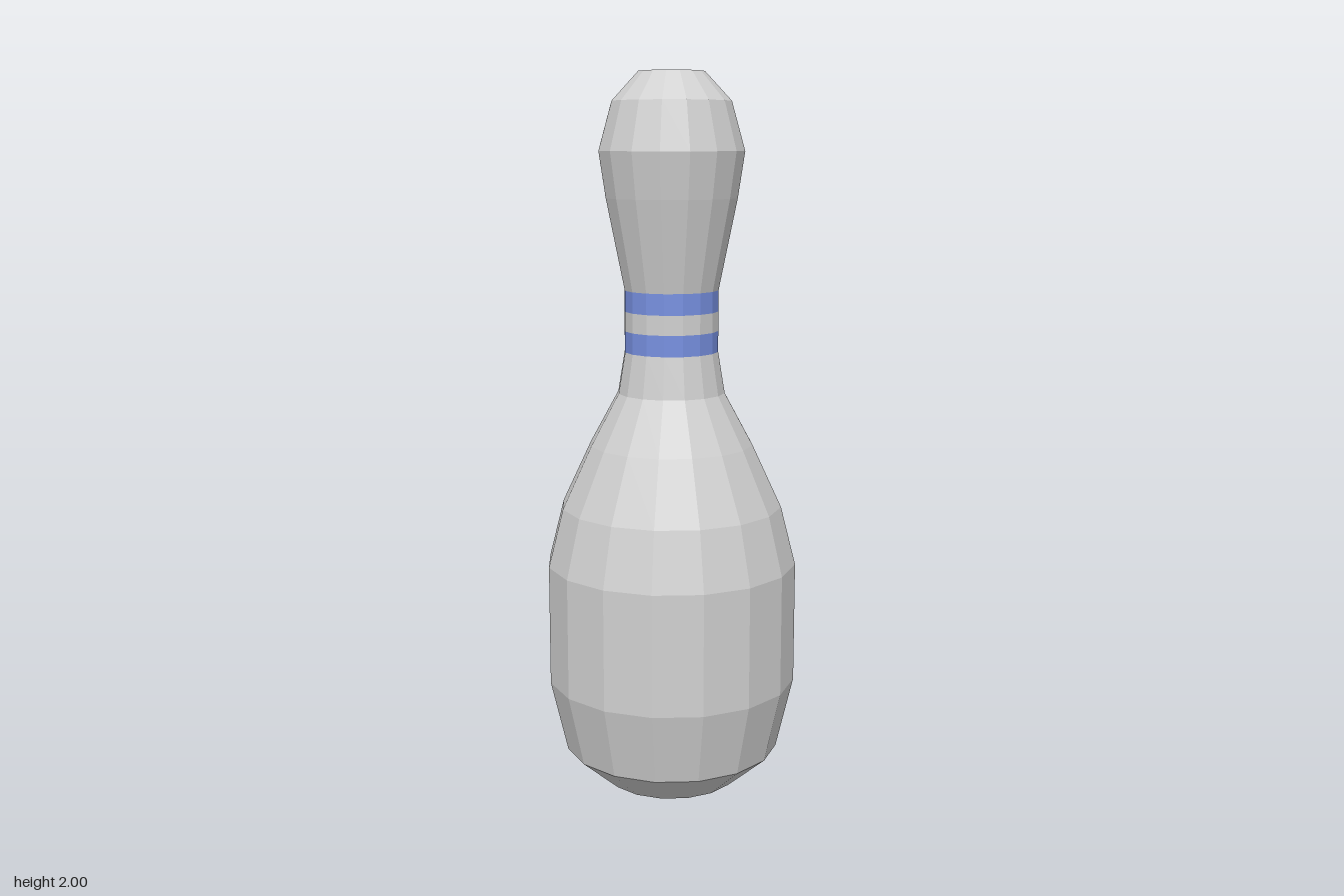
import * as THREE from 'three';

const SIDES = 16;

export function createModel() {
  const white = new THREE.MeshStandardMaterial({ color: 0xd0d0d0, flatShading: true });
  white.name = 'pin white';
  const blue = new THREE.MeshStandardMaterial({ color: 0x7790e0, flatShading: true });
  blue.name = 'stripe blue';

  const group = new THREE.Group();
  group.name = 'bowlingPin';

  // Turned section from [radius, height] pairs, listed bottom to top
  function turned(name, material, profile) {
    const points = profile.map(([r, y]) => new THREE.Vector2(r, y));
    const mesh = new THREE.Mesh(new THREE.LatheGeometry(points, SIDES), material);
    mesh.name = name;
    group.add(mesh);
  }

  // Base, belly and tapering shoulder
  turned('body', white, [
    [0, 0], [0.19, 0], [0.305, 0.1], [0.353, 0.305], [0.353, 0.645],
    [0.311, 0.81], [0.229, 0.985], [0.15, 1.13], [0.131, 1.245],
  ]);

  // Straight neck with two stripes
  turned('lowerStripe', blue, [[0.131, 1.245], [0.131, 1.303]]);
  turned('neck', white, [[0.131, 1.303], [0.131, 1.357]]);
  turned('upperStripe', blue, [[0.131, 1.357], [0.131, 1.415]]);

  // Head with a flat top
  turned('head', white, [
    [0.131, 1.415], [0.182, 1.665], [0.201, 1.79], [0.164, 1.922], [0.091, 2], [0, 2],
  ]);

  return group;
}
